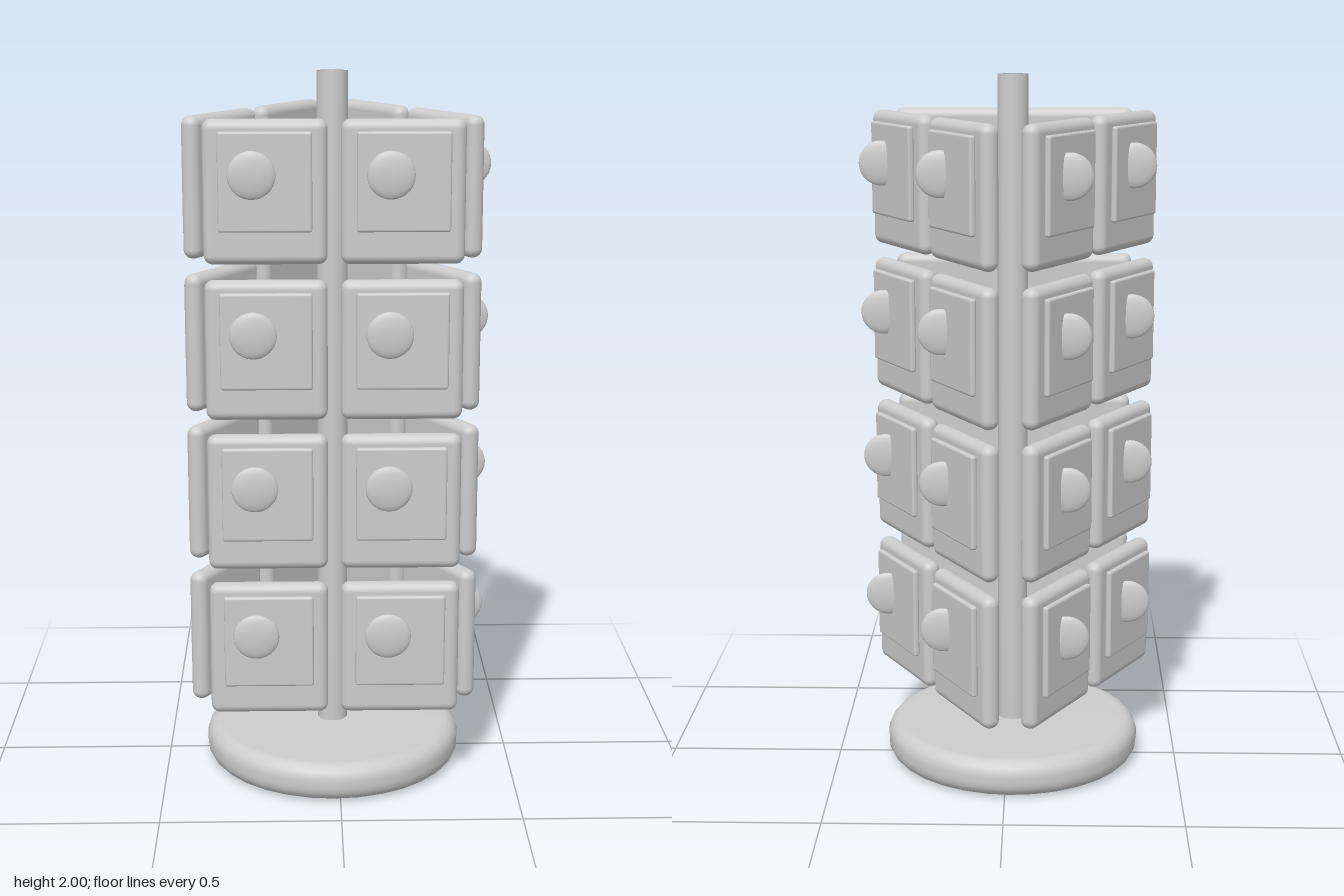
import * as THREE from 'three';
import { RoundedBoxGeometry } from 'three/addons/geometries/RoundedBoxGeometry.js';

const grey = new THREE.MeshStandardMaterial({ color: 0xcccccc });
grey.name = 'light grey';

function addMesh(parent, name, geometry, x = 0, y = 0, z = 0) {
  const mesh = new THREE.Mesh(geometry, grey);
  mesh.name = name;
  mesh.position.set(x, y, z);
  parent.add(mesh);
  return mesh;
}

// Round base with softened rims
function baseGeometry(radius, height, r) {
  const points = [new THREE.Vector2(0, 0)];
  for (let i = 0; i <= 5; i++) {
    const a = (i / 5) * Math.PI / 2;
    points.push(new THREE.Vector2(radius - r + r * Math.sin(a), r - r * Math.cos(a)));
  }
  for (let i = 0; i <= 5; i++) {
    const a = (i / 5) * Math.PI / 2;
    points.push(new THREE.Vector2(radius - r + r * Math.cos(a), height - r + r * Math.sin(a)));
  }
  points.push(new THREE.Vector2(0, height));
  return new THREE.LatheGeometry(points, 32);
}

export function createModel() {
  const model = new THREE.Group();
  model.name = 'displayStand';
  const stand = new THREE.Group();
  stand.name = 'stand';
  stand.position.set(-0.016, 0, 0.028);
  model.add(stand);

  addMesh(stand, 'base', baseGeometry(0.371, 0.11, 0.045));

  // Pole, shaded softly over its ends
  const poleProfile = [[0, 0.05], [0.043, 0.05], [0.043, 2], [0, 2]]
    .map(([x, y]) => new THREE.Vector2(x, y));
  addMesh(stand, 'pole', new THREE.LatheGeometry(poleProfile, 32));

  const panel = new RoundedBoxGeometry(0.329, 0.383, 0.052, 4, 0.025);
  const plate = new RoundedBoxGeometry(0.248, 0.263, 0.018, 2, 0.007);
  const knob = new THREE.SphereGeometry(0.0635, 32, 20);
  knob.scale(1, 1, 0.0145 / 0.0635);

  // Three sides, four rows, two panels in each row
  for (let side = 0; side < 3; side++) {
    const angle = side * Math.PI * 2 / 3;
    const face = new THREE.Group();
    face.name = 'side' + (side + 1);
    face.rotation.y = angle;
    stand.add(face);
    for (let row = 0; row < 4; row++) {
      const y = 0.425 + row * 0.4253;
      for (const x of [-0.1815, 0.1835]) {
        addMesh(face, 'panel', panel, x, y, 0.251);
        addMesh(face, 'plate', plate, x, y + 0.03, 0.287);
        // Every knob disc stays parallel to the front
        const disc = addMesh(face, 'knob', knob, x - 0.035, y + 0.05, 0.305);
        disc.rotation.y = -angle;
      }
    }
  }
  return model;
}
